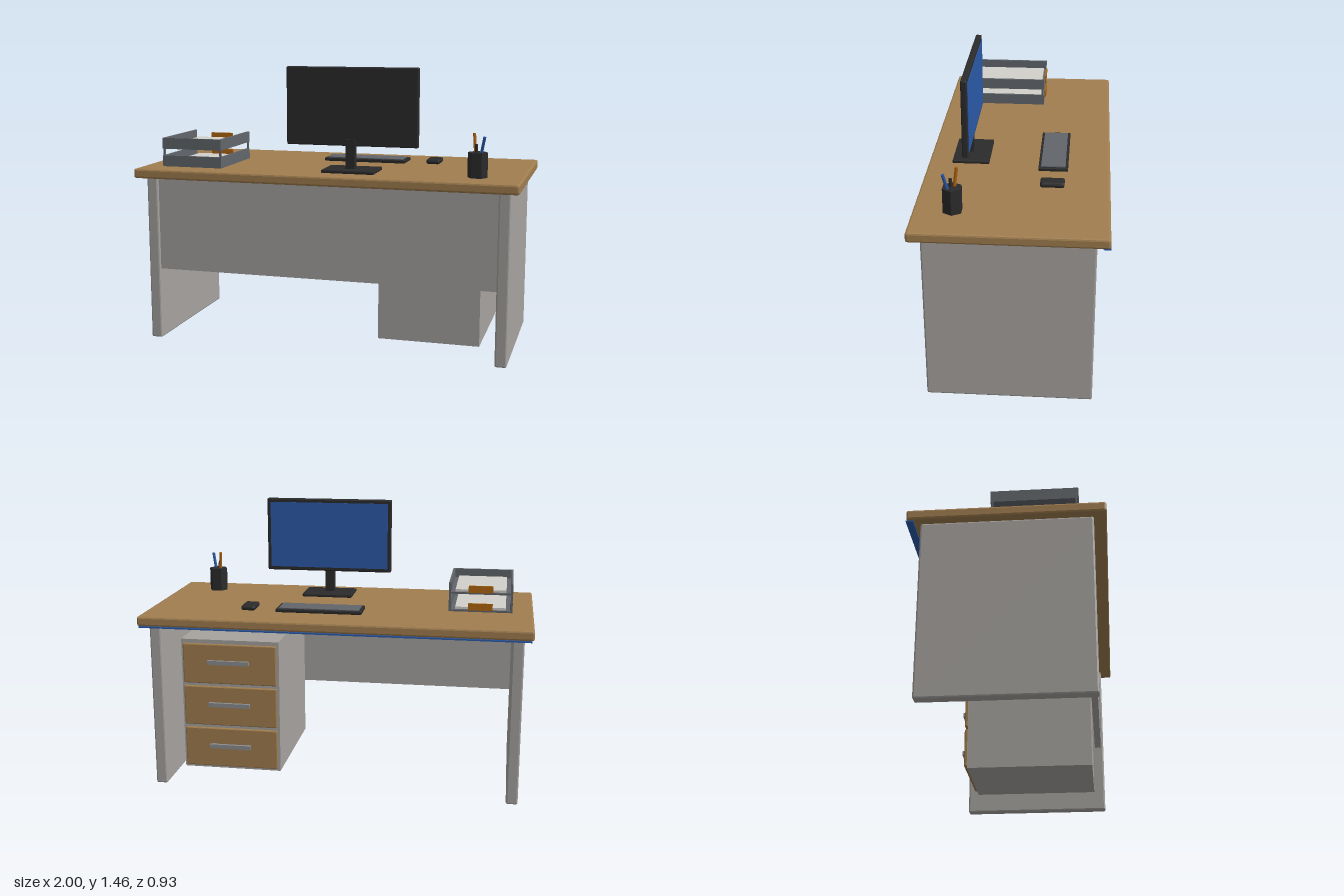
import * as THREE from 'three';
import { RoundedBoxGeometry } from 'three/addons/geometries/RoundedBoxGeometry.js';

const mat = (name, color) => Object.assign(new THREE.MeshStandardMaterial({ color }), { name });

export function createModel() {
  const wood = mat('wood', 0xa07d4e);
  const panelGrey = mat('panel grey', 0xa6a39f);
  const black = mat('black plastic', 0x2b2b2c);
  const steel = mat('tray grey', 0x62666b);
  const metal = mat('handle metal', 0x8a8c90);
  const blue = mat('blue', 0x2a5aa8);
  const orange = mat('orange', 0xb0650f);
  const paper = mat('paper', 0xd2d0cb);

  const model = new THREE.Group();
  model.name = 'officeDesk';
  const group = (name) => {
    const g = new THREE.Group();
    g.name = name;
    model.add(g);
    return g;
  };

  // Box given by its min and max on each axis; a bevel above 0 chamfers its edges
  const box = (parent, name, material, [x0, x1], [y0, y1], [z0, z1], bevel = 0) => {
    const size = [x1 - x0, y1 - y0, z1 - z0];
    const geo = bevel ? new RoundedBoxGeometry(...size, 1, bevel) : new THREE.BoxGeometry(...size);
    if (bevel) geo.computeVertexNormals();
    const mesh = new THREE.Mesh(geo, material);
    mesh.name = name;
    mesh.position.set((x0 + x1) / 2, (y0 + y1) / 2, (z0 + z1) / 2);
    parent.add(mesh);
    return mesh;
  };

  // Desk frame
  const desk = group('desk');
  box(desk, 'desktop', wood, [-1, 1], [0.875, 0.925], [-0.465, 0.465], 0.01);
  box(desk, 'edgeStrip', blue, [-0.99, 0.99], [0.868, 0.8755], [-0.467, -0.432]);
  box(desk, 'leftPanel', panelGrey, [0.895, 0.955], [0, 0.876], [-0.405, 0.405], 0.008);
  box(desk, 'rightPanel', panelGrey, [-0.955, -0.895], [0, 0.876], [-0.405, 0.405], 0.008);
  box(desk, 'modestyPanel', panelGrey, [-0.896, 0.896], [0.38, 0.876], [0.355, 0.39]);

  // Drawer pedestal, opening to the back
  const pedestal = group('pedestal');
  box(pedestal, 'pedestalBody', panelGrey, [0.29, 0.81], [0.08, 0.785], [-0.335, 0.345]);
  for (let i = 0; i < 3; i++) {
    const y = 0.095 + i * 0.229;
    box(pedestal, 'drawerFront', wood, [0.302, 0.798], [y, y + 0.212], [-0.355, -0.334], 0.005);
    const h = y + 0.11;
    box(pedestal, 'drawerHandle', metal, [0.44, 0.66], [h, h + 0.022], [-0.385, -0.37]);
    for (const x of [0.45, 0.635])
      box(pedestal, 'handlePost', metal, [x, x + 0.015], [h + 0.004, h + 0.018], [-0.371, -0.354]);
  }

  // Monitor, its screen facing the back
  const monitor = group('monitor');
  box(monitor, 'monitorCase', black, [-0.222, 0.47], [1.057, 1.457], [0.233, 0.264], 0.006);
  box(monitor, 'screen', blue, [-0.203, 0.451], [1.077, 1.437], [0.23, 0.234]);
  box(monitor, 'monitorNeck', black, [0.097, 0.147], [0.935, 1.09], [0.245, 0.282]);
  box(monitor, 'monitorBase', black, [-0.015, 0.26], [0.925, 0.942], [0.153, 0.342], 0.004);

  // Keyboard and mouse
  const input = group('keyboardAndMouse');
  box(input, 'keyboard', black, [-0.127, 0.323], [0.925, 0.943], [-0.252, -0.102], 0.004);
  box(input, 'keyArea', steel, [-0.112, 0.308], [0.942, 0.947], [-0.239, -0.115]);
  box(input, 'mouse', black, [0.436, 0.51], [0.925, 0.951], [-0.24, -0.12], 0.01);

  // Pen cup with pens leaning outwards
  const cup = group('penCup');
  cup.position.set(0.772, 0, 0.275);
  const cupBody = new THREE.Mesh(
    new THREE.CylinderGeometry(0.05, 0.05, 0.125, 6).toNonIndexed(), black);
  cupBody.geometry.computeVertexNormals();
  cupBody.name = 'cup';
  cupBody.rotation.y = Math.PI / 6;
  cupBody.position.y = 0.9875;
  cup.add(cupBody);
  const pen = (name, material, from, to) => {
    const a = new THREE.Vector3(...from);
    const b = new THREE.Vector3(...to);
    const mesh = new THREE.Mesh(new THREE.CylinderGeometry(0.008, 0.008, a.distanceTo(b), 6), material);
    mesh.name = name;
    mesh.position.copy(a).lerp(b, 0.5);
    mesh.quaternion.setFromUnitVectors(new THREE.Vector3(0, 1, 0), b.sub(a).normalize());
    cup.add(mesh);
  };
  pen('bluePen', blue, [0.01, 1.0, 0.01], [0.037, 1.13, 0.036]);
  pen('orangePencil', orange, [-0.01, 1.0, -0.005], [-0.022, 1.142, -0.022]);
  pen('blackPen', black, [-0.005, 1.0, 0.0], [-0.008, 1.09, 0.008]);

  // Two stacked letter trays, open to the back
  const trays = group('letterTrays');
  const X = [-0.892, -0.562], Z = [-0.085, 0.335], t = 0.012;
  for (const y of [0.925, 1.018]) {
    const wall = [y, y + 0.058];
    box(trays, 'trayFloor', steel, X, [y, y + 0.01], Z);
    box(trays, 'trayLeftWall', steel, [X[1] - t, X[1]], wall, Z);
    box(trays, 'trayRightWall', steel, [X[0], X[0] + t], wall, Z);
    box(trays, 'trayFrontWall', steel, [X[0] + t, X[1] - t], wall, [Z[1] - t, Z[1]]);
    box(trays, 'paperStack', paper, [-0.858, -0.596], [y + 0.009, y + 0.022], [-0.07, 0.307]);
    box(trays, 'trayLabel', orange, [-0.79, -0.664], [y + 0.009, y + 0.046], [-0.093, -0.085]);
  }
  for (const x of [X[0], X[1] - t])
    for (const z of [-0.08, 0.32])
      box(trays, 'trayPost', steel, [x + 0.001, x + t - 0.001], [0.982, 1.02], [z, z + 0.01]);

  return model;
}
